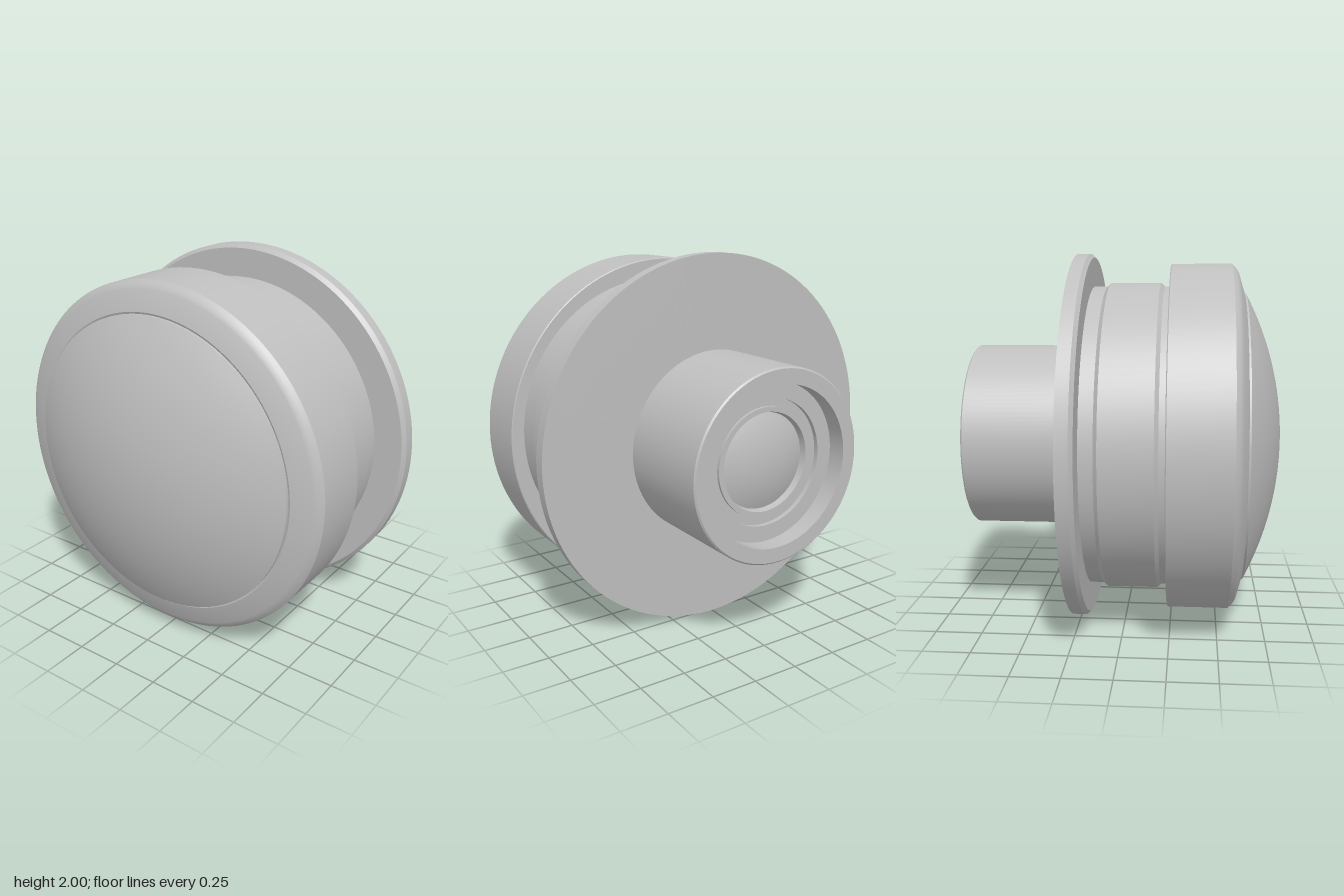
import * as THREE from 'three';
import { toCreasedNormals } from 'three/addons/utils/BufferGeometryUtils.js';

const SEGMENTS = 128;

// Turn a profile of [x along the axis, radius] points around the x axis.
function turned(name, profile, material, crease = 0.4) {
  const points = profile.map(([x, r]) => new THREE.Vector2(r, x));
  const geometry = toCreasedNormals(new THREE.LatheGeometry(points, SEGMENTS), crease);
  geometry.rotateZ(-Math.PI / 2);
  const mesh = new THREE.Mesh(geometry, material);
  mesh.name = name;
  return mesh;
}

// Spherical cap profile from the apex to the rim.
function cap(apexX, rimX, rimRadius, steps) {
  const sag = Math.abs(rimX - apexX);
  const radius = (rimRadius ** 2 + sag ** 2) / (2 * sag);
  const half = Math.asin(rimRadius / radius);
  const dir = Math.sign(rimX - apexX);
  return Array.from({ length: steps + 1 }, (_, i) => {
    const a = (half * i) / steps;
    return [apexX + dir * radius * (1 - Math.cos(a)), radius * Math.sin(a)];
  });
}

export function createModel() {
  const group = new THREE.Group();
  const grey = new THREE.MeshStandardMaterial({ color: 0xbfbfbf });
  const axis = new THREE.Group();
  axis.name = 'lens';
  axis.position.y = 1;
  group.add(axis);

  // Domed front glass
  axis.add(turned('frontGlass', cap(-0.838, -0.637, 0.79, 24), grey));

  // Front ring with a softened outer edge and a stepped hollow behind
  axis.add(turned('frontRing', [
    [-0.637, 0.79], [-0.622, 0.79], [-0.626, 0.8], [-0.594, 0.905],
    [-0.586, 0.919], [-0.573, 0.934], [-0.557, 0.947],
    [-0.24, 0.947], [-0.235, 0.942], [-0.235, 0.92],
    [-0.29, 0.92], [-0.29, 0.895], [-0.33, 0.895], [-0.33, 0.865],
    [-0.36, 0.865], [-0.36, 0.8],
  ], grey));

  // Barrel with a raised, chamfered band
  axis.add(turned('barrel', [
    [-0.37, 0.825], [-0.2, 0.825], [-0.18, 0.845],
    [0.09, 0.845], [0.11, 0.825], [0.19, 0.825],
  ], grey));

  // Mounting flange
  axis.add(turned('flange', [
    [0.183, 0.8], [0.183, 0.98], [0.203, 1], [0.27, 1], [0.27, 0.48],
  ], grey));

  // Rear tube with a stepped recess
  axis.add(turned('rearTube', [
    [0.265, 0.5], [0.827, 0.5], [0.835, 0.492], [0.835, 0.415],
    [0.735, 0.415], [0.735, 0.33], [0.71, 0.33], [0.71, 0.285],
    [0.725, 0.285], [0.725, 0.258], [0.69, 0.25],
  ], grey));

  // Convex rear glass
  axis.add(turned('rearGlass', cap(0.74, 0.69, 0.252, 14).reverse(), grey));

  return group;
}
